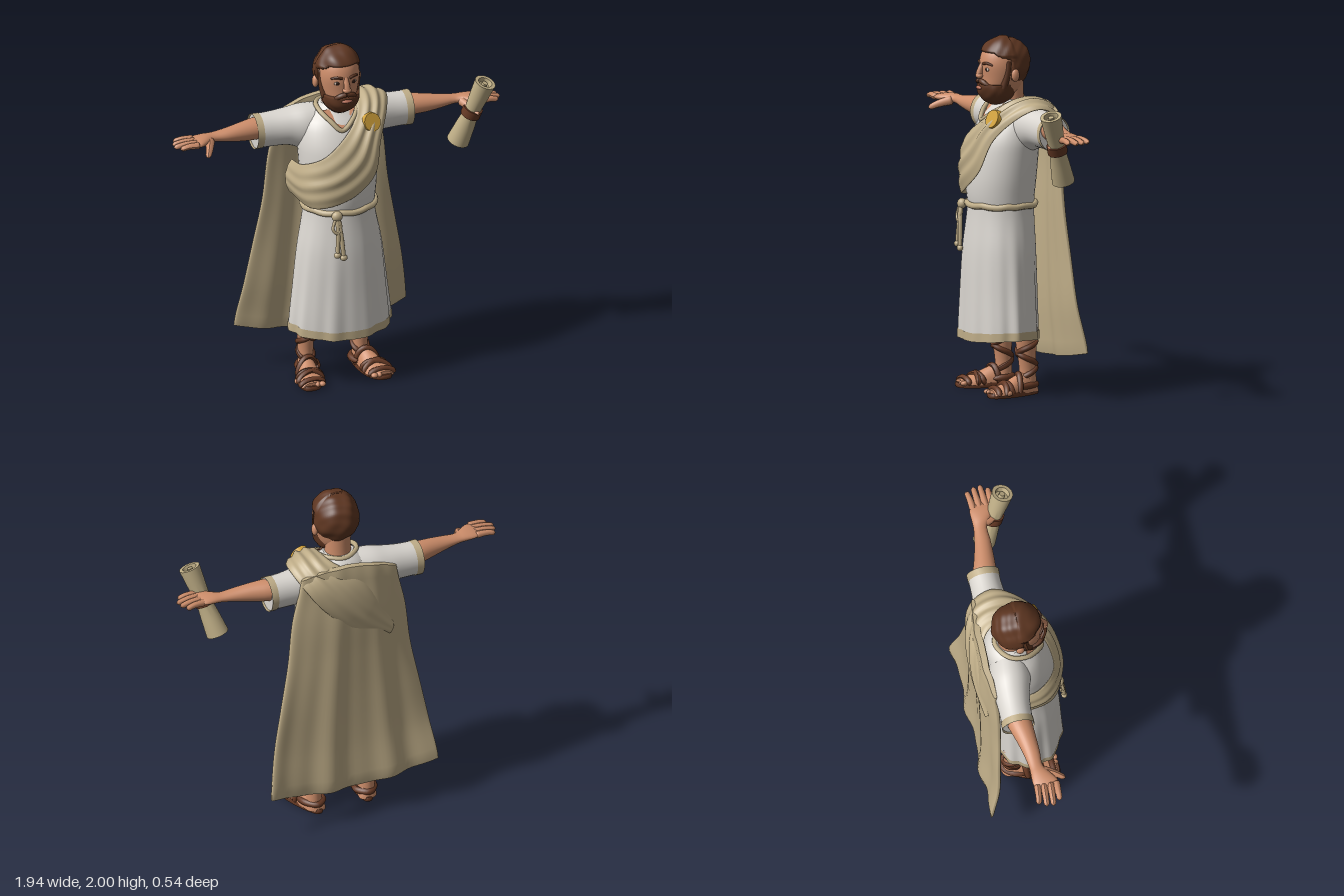
import * as THREE from 'three';
import { mergeVertices, toCreasedNormals } from 'three/addons/utils/BufferGeometryUtils.js';

const V = (x, y, z) => new THREE.Vector3(x, y, z);
const { sin, cos, PI, sqrt, max, abs, sign } = Math;

function material(name, color, side = THREE.FrontSide) {
  const m = new THREE.MeshStandardMaterial({ color, side });
  m.name = name;
  return m;
}

// Smooth interpolation through rows of numbers, t from 0 to 1
function interp(rows, t) {
  const f = t * (rows.length - 1), i = Math.min(Math.floor(f), rows.length - 2), w = f - i;
  const at = k => rows[Math.min(max(k, 0), rows.length - 1)];
  return at(i).map((b, k) => {
    const a = at(i - 1)[k], c = at(i + 1)[k], d = at(i + 2)[k];
    return b + 0.5 * w * (c - a + w * (2 * a - 5 * b + 4 * c - d + w * (3 * (b - c) + d - a)));
  });
}

// Loft of closed loops: f(angle, v) gives a point; turned so that it faces outward
function loft(f, nu, nv, caps = true) {
  const pos = [], idx = [];
  const ring = v => { for (let i = 0; i < nu; i++) pos.push(...f((i + 0.5) / nu * 2 * PI, v).toArray()); };
  for (let j = 0; j <= nv; j++) ring(j / nv);
  for (let j = 0; j < nv; j++) for (let i = 0; i < nu; i++) {
    const a = j * nu + i, b = j * nu + (i + 1) % nu;
    idx.push(a, a + nu, b, b, a + nu, b + nu);
  }
  if (caps) for (const end of [0, 1]) {
    const o = pos.length / 3;
    ring(end);
    for (let i = 0; i < nu / 2 - 1; i++) {
      const a = o + i, b = o + i + 1, c = o + nu - 2 - i, d = o + nu - 1 - i;
      idx.push(...(end ? [a, c, b, a, d, c] : [a, b, c, a, c, d]));
    }
  }
  const g = new THREE.BufferGeometry();
  g.setAttribute('position', new THREE.Float32BufferAttribute(pos, 3));
  g.computeBoundingBox();
  const mid = g.boundingBox.getCenter(V());
  const p = k => V(...pos.slice(idx[k] * 3, idx[k] * 3 + 3)).sub(mid);
  let volume = 0;
  for (let k = 0; k < idx.length; k += 3) volume += p(k).dot(p(k + 1).cross(p(k + 2)));
  g.setIndex(volume < 0 ? idx.reverse() : idx);
  g.computeVertexNormals();
  return g;
}

// Upright loft, rows of [y, half width, front z, back z]
const upright = (rows, nv = 24, nu = 40) => loft((a, v) => {
  const [y, rx, zf, zb] = interp(rows, v);
  return V(rx * cos(a), y, (zf + zb) / 2 + (zf - zb) / 2 * sin(a));
}, nu, nv);

// Sideways loft, rows of [x, centre y, centre z, ry, rz]
const sideways = (rows, nv = 20, caps = true) => loft((a, v) => {
  const [x, y, z, ry, rz] = interp(rows, v);
  return V(x, y + ry * cos(a), z + rz * sin(a));
}, 28, nv, caps);

// Tapered tube with rounded ends
function tube(pts, r0, r1 = r0, closed = false, seg = 24) {
  const curve = new THREE.CatmullRomCurve3(pts.map(p => V(...p)), closed);
  const g = new THREE.TubeGeometry(curve, seg, 1, 8, closed), p = g.attributes.position;
  for (let i = 0; i < p.count; i++) {
    const t = Math.floor(i / 9) / seg, c = curve.getPointAt(t);
    const e = closed ? 0 : max(0, (0.1 - t) / 0.1, (t - 0.85) / 0.15);
    const r = (r0 + (r1 - r0) * t) * sqrt(max(0.02, 1 - e * e));
    const q = V().fromBufferAttribute(p, i).sub(c).multiplyScalar(r).add(c);
    p.setXYZ(i, q.x, q.y, q.z);
  }
  return g;
}

// Ellipsoid whose points can be moved by a rule
function blob(c, r, rule = null, n = 16) {
  let g = new THREE.SphereGeometry(1, n, Math.ceil(n * 0.75));
  g.deleteAttribute('uv'); g.deleteAttribute('normal');
  g = mergeVertices(g);
  g.scale(...r);
  const p = g.attributes.position, o = V(...c);
  for (let i = 0; i < p.count; i++) {
    const d = V().fromBufferAttribute(p, i);
    if (rule) d.multiplyScalar(rule(d.clone().add(o)));
    d.add(o);
    p.setXYZ(i, d.x, d.y, d.z);
  }
  g.computeVertexNormals();
  return g;
}

export function createModel() {
  const model = new THREE.Group();
  model.name = 'robedMan';
  const linen = material('linen', 0xd9d5cf, THREE.DoubleSide), cloth = material('tanCloth', 0xbfad88, THREE.DoubleSide);
  const skin = material('skin', 0xcd8d6a, THREE.DoubleSide), hair = material('hair', 0x5e3621), leather = material('leather', 0x673a25);
  const gold = material('gold', 0xcfa03a), paper = material('parchment', 0xbfae86), dark = material('eyeDark', 0x2c1a12);
  const white = material('eyeWhite', 0xc9b5a6), lip = material('lip', 0xb8705a);

  const add = (name, geo, mat) => {
    const m = new THREE.Mesh(geo, mat);
    m.name = name;
    model.add(m);
  };
  // Adds a part on the left and its mirror image on the right
  const pair = (name, geo, mat) => {
    add(name + 'Left', geo, mat);
    const g = geo.clone().scale(-1, 1, 1), ix = g.index.array;
    for (let i = 0; i < ix.length; i += 3) [ix[i], ix[i + 1]] = [ix[i + 1], ix[i]];
    g.computeVertexNormals();
    add(name + 'Right', g, mat);
  };

  // Tunic
  add('tunicTop', upright([[1.04, .2, .205, -.15], [1.12, .208, .218, -.155], [1.22, .218, .22, -.165], [1.35, .225, .205, -.175],
    [1.45, .225, .178, -.18], [1.55, .2, .125, -.175], [1.61, .14, .07, -.16], [1.65, .085, .04, -.115]]), linen);
  const skirt = (a, v, grow) => {
    const [rx, zf, zb] = interp([[.294, .25, -.16], [.27, .244, -.158], [.242, .235, -.155], [.2, .212, -.15]], v);
    const k = grow + .025 * (1 - v) * sin(10 * a + 1) + .012 * (1 - v) * sin(17 * a);
    const low = .308 + .022 * cos(a) ** 2;
    return V(rx * k * cos(a), low + (1.06 - low) * v, (zf + zb) / 2 + (zf - zb) / 2 * k * sin(a));
  };
  add('skirt', loft((a, v) => skirt(a, v, 1), 120, 20, false), linen);
  add('hemTrim', loft((a, v) => skirt(a, v * .065 - .003, 1.014), 120, 2, false), cloth);
  pair('sleeve', sideways([[.08, 1.5, -.06, .135, .11], [.18, 1.505, -.07, .13, .115], [.27, 1.513, -.08, .107, .1],
    [.36, 1.51, -.085, .1, .09], [.455, 1.508, -.087, .098, .088]]), linen);
  pair('sleeveTrim', sideways([[.425, 1.508, -.087, .101, .091], [.466, 1.508, -.087, .102, .092]], 2, false), cloth);
  add('collar', tube([[-.02, 1.535, .14], [-.075, 1.585, .102], [-.115, 1.63, .03], [-.1, 1.645, -.06], [0, 1.64, -.12], [.1, 1.645, -.06],
    [.11, 1.63, .03], [.06, 1.585, .105]], .014, .014, true, 64), cloth);
  const chest = new THREE.BufferGeometry().setFromPoints([[-.11, 1.63, .04], [-.02, 1.54, .138], [.105, 1.63, .04],
    [-.11, 1.63, .04], [.105, 1.63, .04], [0, 1.64, .06]].map(p => V(...p)));
  chest.computeVertexNormals();
  add('openNeck', chest, skin);

  // Rope belt with hanging ends
  const beltPts = [];
  for (let i = 0; i < 24; i++) beltPts.push([.205 * cos(i * PI / 12), 1.065 + .004 * sin(i * 2), .03 + .188 * sin(i * PI / 12)]);
  add('belt', tube(beltPts, .018, .018, true, 72), cloth);
  add('beltKnot', blob([-.085, 1.06, .228], [.032, .03, .026]), cloth);
  add('beltLoop', tube([[-.095, 1.06, .235], [-.115, .99, .245], [-.09, .965, .25], [-.07, 1, .245], [-.08, 1.06, .235]], .009), cloth);
  for (const [x, y] of [[-.092, .835], [-.055, .815]]) {
    add('beltEnd', tube([[-.085, 1.06, .235], [(x - .08) / 2, .95, .246], [x, y, .254]], .013), cloth);
    add('beltTassel', blob([x, y, .254], [.021, .018, .017]), cloth);
  }

  // Cape
  const capeRows = [[.515, -.222, -.025], [.475, -.208, .005], [.425, -.208, .02], [.375, -.215, .04], [.345, -.222, .05], [.29, -.198, .02]];
  add('cape', loft((a, v) => {
    const [w, z, edge] = interp(capeRows, v), s = cos(a), x = w * s;
    const low = .21 + .06 * s * s, top = 1.635 + .025 * s - .055 * s * s;
    const fold = (.012 * cos(s * 9 + .6) + .005 * sin(s * 17)) * (1 - .8 * v);
    const thick = .026 * sign(sin(a)) * abs(sin(a)) ** .5 * (v === 0 || v === 1 ? .7 : 1);
    return V(x, low + (top - low) * v, z + edge * s * s + fold + thick);
  }, 120, 36), cloth);

  // Sash from the back, over the left shoulder, across the chest to the right side
  const inner = [[-.26, 1.22, -.192], [-.15, 1.42, -.225], [-.04, 1.57, -.21], [.07, 1.64, -.15], [.105, 1.655, -.06], [.1, 1.635, .05],
    [.05, 1.565, .13], [-.05, 1.48, .185], [-.15, 1.4, .18], [-.225, 1.33, .06], [-.215, 1.28, -.13]];
  const outer = [[-.22, 1.13, -.2], [0, 1.24, -.233], [.18, 1.41, -.24], [.28, 1.55, -.205], [.32, 1.625, -.08], [.285, 1.585, .04],
    [.2, 1.45, .165], [.14, 1.27, .225], [-.02, 1.15, .238], [-.195, 1.095, .16], [-.23, 1.09, -.12]];
  add('sash', loft((a, s) => {
    const A = V(...interp(inner, s)), B = V(...interp(outer, s)), w = (1 - cos(a)) / 2;
    const mid = t => V(...interp(inner, t)).add(V(...interp(outer, t)));
    const N = mid(Math.min(s + .02, 1)).sub(mid(max(s - .02, 0))).cross(B.clone().sub(A)).normalize();
    const ripple = (.002 + .006 * sin(PI * s)) * sin(w * 20 + s * 5) * sin(PI * w);
    return A.lerp(B, w).addScaledVector(N, .018 * sin(PI * w) + ripple + .017 * sin(a));
  }, 72, 72), cloth);
  const brooch = toCreasedNormals(new THREE.CylinderGeometry(.052, .057, .03, 32), .6);
  brooch.applyQuaternion(new THREE.Quaternion().setFromUnitVectors(V(0, 1, 0), V(.2, .38, .9).normalize())).translate(.152, 1.56, .142);
  add('brooch', brooch, gold);

  // Arms and hands
  pair('arm', sideways([[.38, 1.53, -.085, .062, .072], [.46, 1.53, -.077, .061, .068], [.55, 1.53, -.062, .052, .056], [.64, 1.532, -.05, .037, .046],
    [.72, 1.535, -.045, .025, .038], [.77, 1.537, -.03, .026, .053], [.82, 1.537, -.014, .023, .07], [.86, 1.537, -.008, .013, .064]]), skin);
  for (const [z0, z1, x] of [[-.06, -.075, .945], [-.024, -.034, .965], [.013, .004, .97], [.045, .044, .945]])
    pair('finger', tube([[.83, 1.538, z0], [.9, 1.54, (z0 + z1) / 2], [x, 1.53, z1]], .021, .015, false, 14), skin);
  pair('thumb', tube([[.745, 1.53, -.02], [.775, 1.51, .05], [.805, 1.483, .105]], .028, .015, false, 14), skin);

  // Scroll in the left hand
  const turn = new THREE.Quaternion().setFromUnitVectors(V(0, 1, 0), V(.115, .395, .13).normalize());
  const place = g => g.applyQuaternion(turn).translate(.788, 1.483, .045);
  const profile = [[0, -.19], [.038, -.19], [.042, -.215], [.064, -.215], [.054, -.1], [.045, -.02], [.046, .03], [.054, .12],
    [.06, .21], [.04, .21], [.036, .18], [.018, .18], [.016, .205], [0, .205]].map(p => new THREE.Vector2(...p));
  add('scroll', place(toCreasedNormals(new THREE.LatheGeometry(profile, 32), .6)), paper);
  add('scrollBand', place(toCreasedNormals(new THREE.CylinderGeometry(.056, .056, .05, 32), .6)), leather);

  // Neck, head and face
  add('neck', upright([[1.56, .085, .05, -.12], [1.64, .074, .04, -.105], [1.78, .072, .04, -.1]], 8), skin);
  add('head', upright([[1.64, .05, .11, -.02], [1.7, .088, .14, -.08], [1.78, .112, .145, -.1], [1.86, .118, .15, -.11],
    [1.93, .1, .125, -.1], [1.97, .05, .06, -.05]]), skin);
  add('nose', tube([[0, 1.86, .138], [0, 1.82, .156], [0, 1.785, .165]], .013, .021), skin);
  add('noseTip', blob([0, 1.787, .162], [.026, .017, .02]), skin);
  pair('ear', blob([.127, 1.795, -.002], [.017, .036, .024]), skin);
  pair('eye', blob([.046, 1.825, .133], [.02, .011, .008]), white);
  pair('iris', blob([.046, 1.825, .138], [.0125, .011, .006]), dark);
  pair('brow', tube([[.018, 1.853, .147], [.05, 1.861, .14], [.082, 1.85, .115]], .009, .006), hair);
  const curl = p => 1 + .02 * (sin(60 * p.x + 25 * p.y) + sin(70 * p.y + 40 * p.z) * sin(65 * p.z - 30 * p.x));
  add('hair', blob([0, 1.852, .003], [.131, .145, .143], p =>
    p.z > .02 && p.y < 1.91 - .6 * max(0, abs(p.x) - .08) ? .7 : curl(p) * (p.z > 0 && p.y > 1.9 ? 1.05 : 1), 72), hair);
  add('beard', blob([0, 1.728, .055], [.11, .111, .111], p => p.y > 1.742 ? .7 : curl(p), 60), hair);
  pair('sideburn', tube([[.107, 1.88, .03], [.104, 1.79, .04], [.09, 1.71, .06]], .017, .022), hair);
  pair('moustache', tube([[0, 1.758, .158], [.035, 1.752, .152], [.068, 1.722, .125]], .016, .012), hair);
  add('mouth', blob([0, 1.719, .163], [.032, .01, .012]), lip);

  // Legs and sandals
  const legRows = [[.162, -.06, .045, .05], [.162, -.06, .043, .048], [.163, -.055, .047, .052], [.165, -.05, .054, .06], [.167, -.05, .058, .063]];
  const legPoint = (a, y, off = 0) => {
    const [x, z, rx, rz] = interp(legRows, (y - .06) / .32);
    return V(x + (rx + off) * cos(a), y, z + (rz + off) * sin(a));
  };
  pair('leg', loft((a, v) => legPoint(a, .06 + .32 * v), 28, 16), skin);
  for (const way of [1, -1]) {
    const pts = [];
    for (let k = 0; k <= 24; k++) pts.push(legPoint(PI / 2 + way * k / 24 * PI * 3, .09 + k * .0095, -.003).toArray());
    pair('legStrap', tube(pts, .0165, .0165, false, 72), leather);
  }
  const footRows = [[-.12, .025, .03], [-.1, .05, .07], [-.05, .055, .12], [.02, .06, .105], [.09, .073, .07], [.15, .076, .05], [.185, .055, .038]];
  const footX = z => .156 + (z + .1) * .2;
  const footPoint = (a, v, off = 0) => {
    const [z, w, h] = interp(footRows, v);
    return V(footX(z) + (w + off) * cos(a), .022 + max(0, sin(a)) * (h + off - .01), z);
  };
  pair('foot', loft((a, v) => footPoint(a, v), 32, 20), skin);
  for (const [v0, v1] of [[.5, .42], [.62, .72], [.74, .62], [.88, .86]]) {
    const pts = [];
    for (let k = 0; k <= 10; k++) pts.push(footPoint(PI * k / 10, v0 + (v1 - v0) * k / 10).toArray());
    pair('footStrap', tube(pts, .017), leather);
  }
  pair('heelStrap', tube([[.222, .055, .02], [.21, .06, -.06], [.158, .06, -.11], [.105, .06, -.06], [.118, .055, .02]], .019), leather);
  for (let k = 0; k < 5; k++)
    pair('toe', blob([.155 + k * .03, .034, .183 - .006 * k * k + .004 * k], [k ? .015 : .02, .015, .02], null, 10), skin);
  pair('sole', loft((a, v) => {
    const grow = v === 0 || v === 1 ? .97 : 1, s = sin(a), z = .037 + .166 * s * grow;
    const w = (.066 + .02 * s) * sign(cos(a)) * abs(cos(a)) ** .75;
    return V(footX(z) + w * grow, .005 + .028 * v, z);
  }, 40, 3), leather);

  return model;
}
